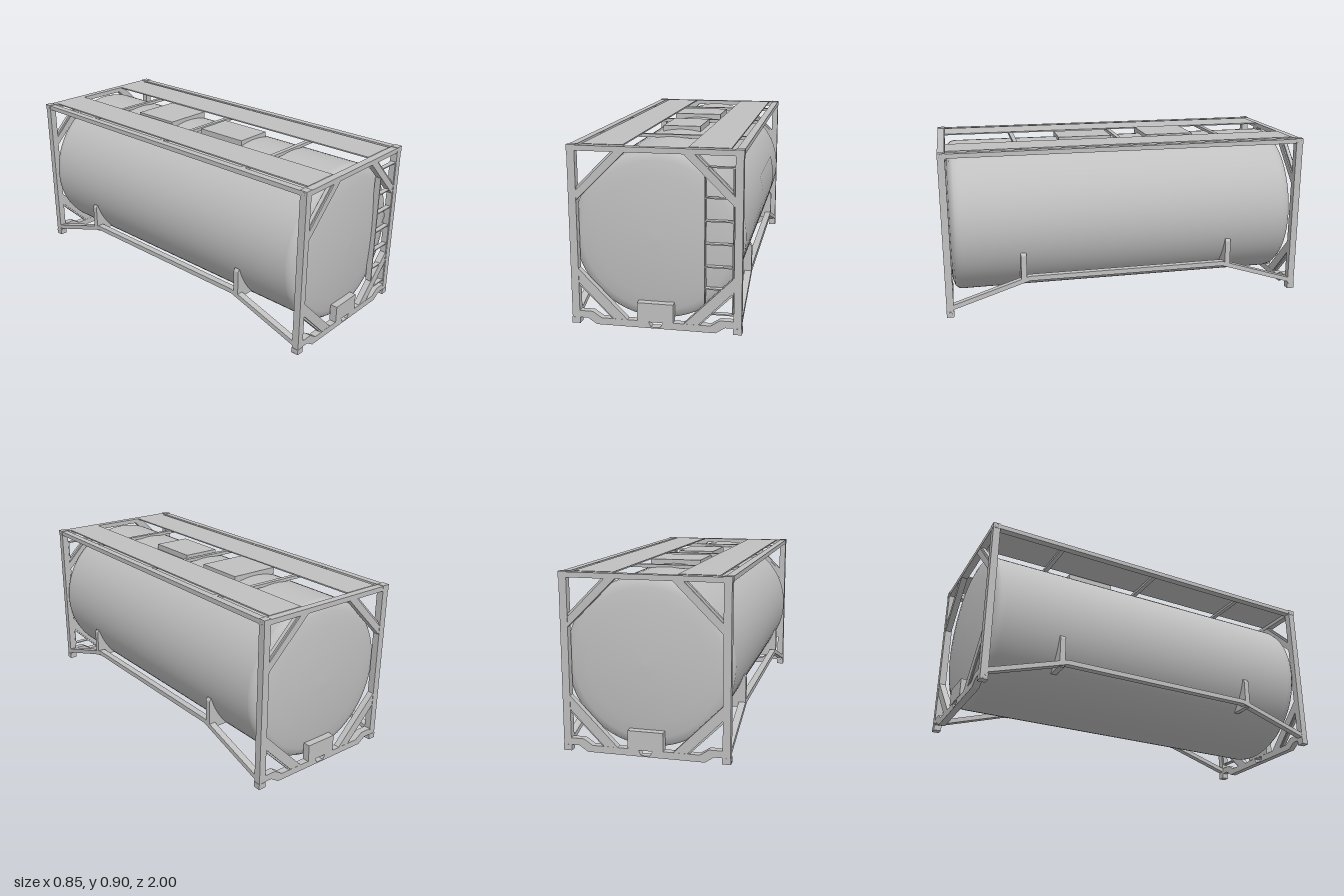
import * as THREE from 'three';

export function createModel() {
  const model = new THREE.Group();
  const grey = new THREE.MeshStandardMaterial({ color: 0xc0c0c0 });
  grey.name = 'light grey steel';

  const add = (name, geometry) => {
    const mesh = new THREE.Mesh(geometry, grey);
    mesh.name = name;
    model.add(mesh);
    return mesh;
  };
  // Box given by its minimum and maximum corners
  const box = (name, x0, x1, y0, y1, z0, z1) =>
    add(name, new THREE.BoxGeometry(x1 - x0, y1 - y0, z1 - z0)
      .translate((x0 + x1) / 2, (y0 + y1) / 2, (z0 + z1) / 2));
  const toShape = pts => new THREE.Shape(pts.map(p => new THREE.Vector2(...p)));
  const plate = (shape, depth) => new THREE.ExtrudeGeometry(shape, { depth, bevelEnabled: false, curveSegments: 8 });
  const signs = [-1, 1];

  // Tank shell with dished ends
  const cy = 0.452, R = 0.424;
  const half = [[0, 0.985], [0.1, 0.983], [0.2, 0.977], [0.3, 0.967], [0.37, 0.957],
    [0.405, 0.945], [0.42, 0.927], [R, 0.905], [R, 0.9]];
  const profile = [...half.map(([r, z]) => [r, -z]), ...half.slice().reverse()]
    .map(p => new THREE.Vector2(...p));
  add('tank', new THREE.LatheGeometry(profile, 96).rotateX(Math.PI / 2)).position.y = cy;

  // Curved cladding panel on the left side
  const panel = new THREE.CylinderGeometry(R + 0.002, R + 0.002, 0.67, 12, 1, true, Math.PI / 2 - 0.3, 0.6);
  panel.rotateX(Math.PI / 2).translate(0, cy, -0.235);
  add('sidePanel', panel);

  // Corner posts, castings and their openings
  for (const sx of signs) for (const sz of signs) {
    const cx = sx * 0.4, cz = sz * 0.98;
    box('cornerPost', cx - 0.019, cx + 0.019, 0.02, 0.87, cz - 0.019, cz + 0.019);
    for (const y of [0.015, 0.877]) {
      box('cornerCasting', cx - 0.021, cx + 0.021, y - 0.015, y + 0.015, cz - 0.02, cz + 0.02);
      const ring = () => new THREE.TorusGeometry(0.01, 0.0015, 6, 16);
      add('castingEndOpening', ring()).position.set(cx, y, sz * 0.9985);
      const side = add('castingSideOpening', ring());
      side.rotation.y = Math.PI / 2;
      side.position.set(sx * 0.42, y, cz);
    }
  }

  // Bottom end beam with cranked ends and a central opening
  const right = [[0.295, 0], [0.34, 0.03], [0.385, 0.03], [0.385, 0.065], [0.315, 0.065], [0.27, 0.035]];
  const beam = toShape([...right, ...right.slice().reverse().map(([x, y]) => [-x, y])]);
  beam.holes.push(new THREE.Path([[-0.035, 0.031], [0.035, 0.031], [0.022, 0.006], [-0.022, 0.006]]
    .map(p => new THREE.Vector2(...p))));

  for (const sz of signs) {
    const zMid = sz * 0.98;
    add('bottomEndBeam', plate(beam, 0.036)).position.z = zMid - 0.018;
    box('topEndBeam', -0.39, 0.39, 0.863, 0.889, zMid - 0.019, zMid + 0.019);
    box('documentBox', -0.09, 0.088, 0.035, 0.128, zMid - 0.02, zMid + 0.02);
    for (const sx of signs) {
      // Diagonal end braces, each with a narrow flange on its outer edge
      const braces = [
        [[0.385, 0.62], [0.385, 0.67], [0.188, 0.868], [0.135, 0.868]],
        [[0.385, 0.285], [0.385, 0.215], [0.205, 0.03], [0.135, 0.03]]];
      const flanges = [
        [[0.385, 0.67], [0.385, 0.685], [0.202, 0.868], [0.188, 0.868]],
        [[0.385, 0.215], [0.385, 0.2], [0.215, 0.03], [0.2, 0.03]]];
      for (const [name, list, depth] of [['endBrace', braces, 0.034], ['braceFlange', flanges, 0.02]])
        for (const pts of list)
          add(name, plate(toShape(pts.map(([x, y]) => [sx * x, y])), depth))
            .position.z = zMid - depth / 2;
    }
  }

  // Side rails and saddle gussets
  const railLine = [[-0.965, 0.04], [-0.55, 0.172], [0.55, 0.172], [0.965, 0.04]];
  const railShape = toShape([...railLine, ...railLine.slice().reverse().map(([z, y]) => [z, y + 0.026])]);
  const gusset = [[0.405, 0.156], [0.418, 0.17], [0.418, 0.315], [0.408, 0.33], [0.395, 0.325], [0.33, 0.2], [0.3, 0.156]];
  for (const sx of signs) {
    box('topSideRail', sx * 0.4 - 0.019, sx * 0.4 + 0.019, 0.865, 0.889, -0.965, 0.965);
    const rail = plate(railShape, 0.036).translate(0, 0, -0.018).rotateY(Math.PI / 2);
    add('bottomSideRail', rail).position.x = sx * 0.4;
    for (const sz of signs)
      add('saddleGusset', plate(toShape(gusset.map(([x, y]) => [sx * x, y])), 0.03))
        .position.z = sz * 0.58 - 0.015;
    // Walkway along the roof
    box('walkway', sx * 0.257 - 0.1, sx * 0.257 + 0.1, 0.884, 0.891, -0.96, 0.96);
  }

  // Roof cross members
  for (const z of [-0.588, -0.005, 0.58])
    box('roofCrossMember', -0.385, 0.385, 0.87, 0.887, z - 0.012, z + 0.012);

  // Roof hatches
  box('manholeCover', -0.14, 0.133, 0.858, 0.896, -0.44, -0.165);
  box('valveCover', -0.105, 0.1, 0.858, 0.894, 0.033, 0.333);

  // Access ladder on the front end
  box('ladderRail', 0.237, 0.243, 0.145, 0.76, 0.965, 0.998);
  box('ladderOuterRail', 0.372, 0.378, 0.09, 0.81, 0.965, 0.998);
  for (const y of [0.22, 0.329, 0.441, 0.552, 0.662])
    box('ladderRung', 0.24, 0.378, y - 0.003, y + 0.003, 0.97, 0.997);
  box('topLadderRung', 0.25, 0.385, 0.804, 0.81, 0.97, 0.997);
  box('bottomLadderRung', 0.26, 0.385, 0.092, 0.098, 0.97, 0.997);

  return model;
}
